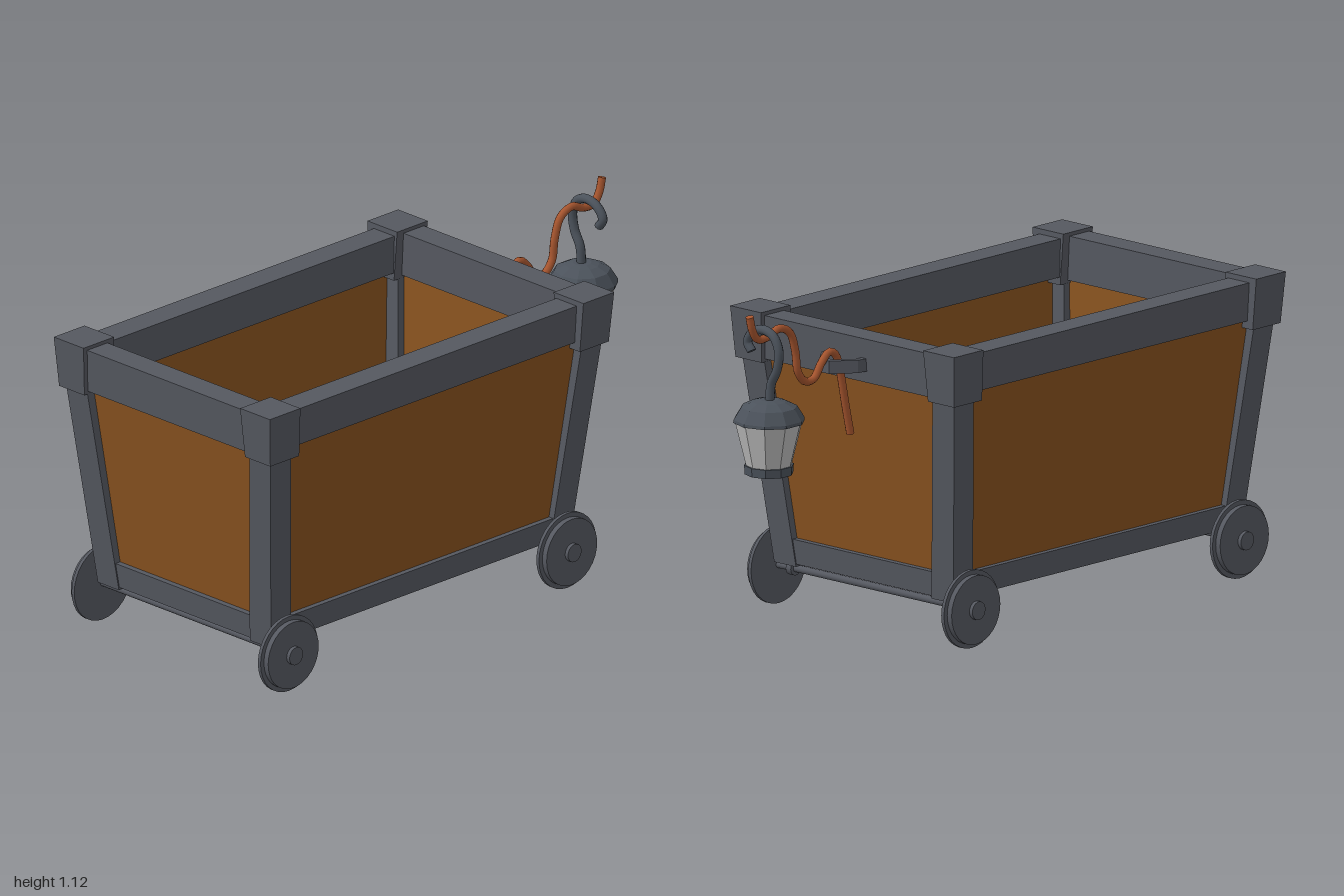
import * as THREE from 'three';

const mat = (name, color, extra = {}) => {
  const m = new THREE.MeshStandardMaterial({ color, ...extra });
  m.name = name;
  return m;
};

export function createModel() {
  const root = new THREE.Group();
  const iron = mat('iron grey', 0x555860);
  const lampIron = mat('lantern grey', 0x4b525b);
  const wood = mat('panel brown', 0x88521f);
  const copper = mat('copper stick', 0xa8562f);
  const glass = mat('pale glass', 0xbcbcbc);

  const add = (parent, name, geo, material, x = 0, y = 0, z = 0) => {
    const m = new THREE.Mesh(geo, material);
    m.name = name;
    m.position.set(x, y, z);
    parent.add(m);
    return m;
  };

  // Six-sided block whose bottom and top rectangles [x0, x1, z0, z1] differ
  const block = (y0, y1, bottom, top) => {
    const g = new THREE.BoxGeometry(1, 1, 1);
    const p = g.attributes.position;
    for (let i = 0; i < p.count; i++) {
      const up = p.getY(i) > 0, r = up ? top : bottom;
      p.setXYZ(i, p.getX(i) < 0 ? r[0] : r[1], up ? y1 : y0, p.getZ(i) < 0 ? r[2] : r[3]);
    }
    g.computeVertexNormals();
    return g;
  };

  // Half sizes of the flared body at height y
  const hx = y => 0.663 + (y - 0.15) * 0.105;
  const hz = y => 0.39 + (y - 0.15) * 0.105;

  const cart = new THREE.Group();
  cart.name = 'cart';
  cart.position.x = -0.238;
  root.add(cart);

  // Corner posts and their caps
  const span = (s, a, b) => (s > 0 ? [a, b] : [-b, -a]);
  for (const sx of [-1, 1]) for (const sz of [-1, 1]) {
    const post = y => [...span(sx, hx(y) - 0.09, hx(y)), ...span(sz, hz(y) - 0.095, hz(y))];
    add(cart, 'cornerPost', block(0.15, 0.9, post(0.15), post(0.9)), iron);
    add(cart, 'cornerCap', block(0.82, 0.987,
      [...span(sx, 0.622, 0.75), ...span(sz, 0.362, 0.476)],
      [...span(sx, 0.627, 0.763), ...span(sz, 0.353, 0.487)]), iron);
  }

  // Rails and panels along the front and back
  for (const s of [-1, 1]) {
    const strip = (y, w, o, i) => [-w, w, ...span(s, hz(y) - i, hz(y) - o)];
    add(cart, 'longTopRail', block(0.845, 0.97,
      [-0.7, 0.7, ...span(s, 0.365, 0.452)], [-0.7, 0.7, ...span(s, 0.365, 0.457)]), iron);
    add(cart, 'longBottomRail', block(0.16, 0.24,
      strip(0.16, 0.62, 0.004, 0.09), strip(0.24, 0.63, 0.004, 0.098)), iron);
    add(cart, 'longPanel', block(0.2, 0.88,
      strip(0.2, 0.62, 0.022, 0.036), strip(0.88, 0.69, 0.032, 0.046)), wood);
  }

  // Rails and panels at both ends
  for (const s of [-1, 1]) {
    const strip = (y, w, o, i) => [...span(s, hx(y) - i, hx(y) - o), -w, w];
    add(cart, 'endTopRail', block(0.83, 0.975,
      [...span(s, 0.656, 0.735), -0.42, 0.42], [...span(s, 0.656, 0.746), -0.42, 0.42]), iron);
    add(cart, 'endBottomRail', block(0.158, 0.24,
      strip(0.158, 0.34, 0.004, 0.088), strip(0.24, 0.35, 0.004, 0.094)), iron);
    add(cart, 'endPanel', block(0.2, 0.88,
      strip(0.2, 0.35, 0.024, 0.062), strip(0.88, 0.4, 0.03, 0.065)), wood);
  }
  add(cart, 'floor', new THREE.BoxGeometry(1.22, 0.02, 0.68), wood, 0, 0.2, 0);

  // Axles with stepped wheels
  const rod = (r, len, seg = 32) => new THREE.CylinderGeometry(r, r, len, seg).rotateX(Math.PI / 2);
  for (const s of [-1, 1]) {
    const set = new THREE.Group();
    set.name = 'wheelSet';
    set.position.set(s * 0.617, 0.13, 0);
    cart.add(set);
    add(set, 'axle', rod(0.012, 0.84, 12), iron);
    add(set, 'axleCollar', rod(0.024, 0.022, 12), iron, 0, 0, 0.35);
    for (const f of [-1, 1]) {
      add(set, 'wheelRim', rod(0.127, 0.012), iron, 0, 0, f * 0.42);
      add(set, 'wheelDisc', rod(0.112, 0.02), iron, 0, 0, f * 0.435);
      add(set, 'wheelHub', rod(0.03, 0.014, 20), iron, 0, 0, f * 0.451);
    }
  }

  // Ring bracket on the end rail
  const outline = (Cls, pts) => {
    const all = [...pts, ...pts.map(([x, y]) => [x, -y]).reverse()];
    return new Cls(all.map(p => new THREE.Vector2(...p)));
  };
  const ring = outline(THREE.Shape, [[0.495, 0.085], [0.535, 0.08], [0.607, 0.022]]);
  ring.holes.push(outline(THREE.Path, [[0.5, 0.065], [0.528, 0.062], [0.583, 0.016]]));
  const ringGeo = new THREE.ExtrudeGeometry(ring, { depth: 0.042, bevelEnabled: false });
  add(root, 'bracket', ringGeo.rotateX(-Math.PI / 2), iron, 0, 0.868, 0);

  // Bent tube with closed ends
  const tube = (name, pts, r, material) => {
    const curve = new THREE.CatmullRomCurve3(pts.map(p => new THREE.Vector3(...p)));
    add(root, name, new THREE.TubeGeometry(curve, 64, r, 10), material);
    for (const t of [0, 1]) {
      const cap = add(root, name + 'End', new THREE.CircleGeometry(r, 10), material);
      cap.position.copy(curve.getPoint(t));
      const dir = curve.getTangent(t).multiplyScalar(t ? 1 : -1);
      cap.quaternion.setFromUnitVectors(new THREE.Vector3(0, 0, 1), dir);
    }
  };
  tube('lanternStick', [
    [0.492, 0.65], [0.515, 0.75], [0.54, 0.865], [0.56, 0.92], [0.59, 0.934], [0.625, 0.905],
    [0.66, 0.86], [0.7, 0.858], [0.733, 0.895], [0.745, 0.965], [0.77, 1.03], [0.82, 1.053],
    [0.87, 1.035], [0.918, 1.035], [0.943, 1.07], [0.955, 1.115],
  ].map(([x, y]) => [x, y, -0.005]), 0.013, copper);
  tube('lanternHook', [
    [-0.028, 0.83], [-0.035, 0.89], [-0.06, 0.94], [-0.068, 1], [-0.045, 1.045], [0, 1.06],
    [0.045, 1.045], [0.068, 1.01], [0.05, 0.982],
  ].map(([z, y]) => [0.887, y, z]), 0.015, lampIron);

  // Ten-sided lantern
  const lantern = new THREE.Group();
  lantern.name = 'lantern';
  lantern.position.set(0.887, 0, -0.025);
  root.add(lantern);
  const lathe = (name, pts, material) => {
    const g = new THREE.LatheGeometry(pts.map(p => new THREE.Vector2(...p)), 10, Math.PI / 10).toNonIndexed();
    g.computeVertexNormals();
    add(lantern, name, g, material);
  };
  lathe('lanternBase', [[0, 0.597], [0.078, 0.597], [0.08, 0.626], [0, 0.626]], lampIron);
  lathe('lanternGlass', [[0.074, 0.626], [0.109, 0.768]], glass);
  lathe('lanternRoof', [[0, 0.766], [0.115, 0.766], [0.114, 0.776], [0.09, 0.815],
    [0.055, 0.832], [0.03, 0.838], [0, 0.838]], lampIron);

  return root;
}
